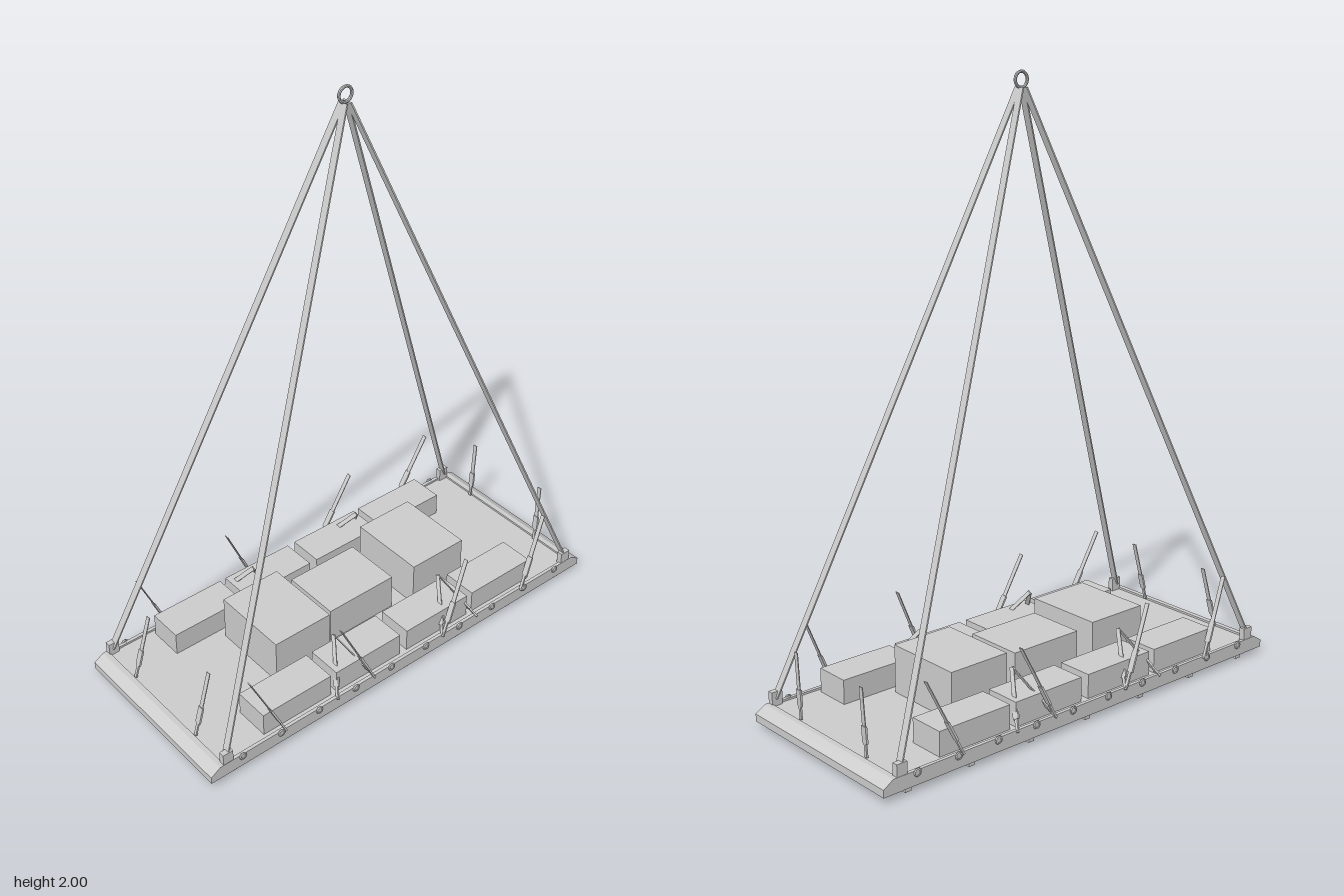
import * as THREE from 'three';

const mat = new THREE.MeshStandardMaterial({ color: 0xcccccc, flatShading: true });

function add(parent, name, geo, x = 0, y = 0, z = 0) {
  const m = new THREE.Mesh(geo, mat);
  m.name = name;
  m.position.set(x, y, z);
  parent.add(m);
  return m;
}

// box given by its limits on each axis
function block(parent, name, x0, x1, y0, y1, z0, z1) {
  return add(parent, name, new THREE.BoxGeometry(x1 - x0, y1 - y0, z1 - z0),
    (x0 + x1) / 2, (y0 + y1) / 2, (z0 + z1) / 2);
}

// flat bar from a to b whose width lies towards the x axis
function band(parent, name, a, b, width, thick) {
  const A = new THREE.Vector3(...a), B = new THREE.Vector3(...b);
  const d = B.clone().sub(A), len = d.length();
  d.normalize();
  const w = new THREE.Vector3(1, 0, 0).addScaledVector(d, -d.x).normalize();
  const n = w.clone().cross(d);
  const m = add(parent, name, new THREE.BoxGeometry(width, len, thick));
  m.quaternion.setFromRotationMatrix(new THREE.Matrix4().makeBasis(w, d, n));
  m.position.copy(A.add(B).multiplyScalar(0.5));
  return m;
}

// loose tie-down: hook, ratchet and webbing along one line
function tieDown(parent, a, b) {
  const g = new THREE.Group();
  g.name = 'tieDown';
  parent.add(g);
  const at = t => a.map((v, i) => v + (b[i] - v) * t);
  band(g, 'hook', a, at(0.25), 0.01, 0.006);
  band(g, 'ratchet', at(0.2), at(0.45), 0.021, 0.007);
  band(g, 'webbing', at(0.4), b, 0.016, 0.003);
}

export function createModel() {
  const root = new THREE.Group();
  root.name = 'slungCargoPallet';

  // pallet deck, side rails and bevelled ends
  const pallet = new THREE.Group();
  pallet.name = 'pallet';
  root.add(pallet);
  block(pallet, 'deck', -0.318, 0.318, 0.02, 0.06, -0.775, 0.775);
  const profile = new THREE.Shape([
    [0.76, 0.02], [0.813, 0.02], [0.813, 0.045], [0.778, 0.067], [0.76, 0.067],
  ].map(p => new THREE.Vector2(...p)));
  for (const s of [-1, 1]) {
    block(pallet, 'sideRail', s * 0.324 - 0.006, s * 0.324 + 0.006, 0.02, 0.067, -0.77, 0.77);
    const geo = new THREE.ExtrudeGeometry(profile, { depth: 0.66, bevelEnabled: false });
    geo.translate(0, 0, -0.33);
    add(pallet, 'endRail', geo).rotation.y = -s * Math.PI / 2;
  }

  // cross runners underneath
  for (let i = -3; i <= 3; i++) {
    const z = i * 0.238;
    block(pallet, 'runner', -0.315, 0.315, 0, 0.022, z - 0.011, z + 0.011);
  }

  // tie rings along both sides
  for (const s of [-1, 1]) {
    for (let i = 0; i < 10; i++) {
      const z = (i - 4.5) * 0.1535;
      const ring = add(pallet, 'tieRing', new THREE.TorusGeometry(0.01, 0.004, 6, 14), s * 0.331, 0.06, z);
      ring.rotation.y = Math.PI / 2;
      const pin = add(pallet, 'ringPin', new THREE.CylinderGeometry(0.008, 0.008, 0.012, 10), s * 0.327, 0.06, z);
      pin.rotation.z = Math.PI / 2;
    }
  }

  // cargo boxes
  const cargo = new THREE.Group();
  cargo.name = 'cargo';
  root.add(cargo);
  block(cargo, 'middleBox', -0.105, 0.105, 0.06, 0.19, -0.12, 0.152);
  for (const s of [-1, 1]) {
    block(cargo, 'tallBox', -0.142, 0.142, 0.06, 0.222, s * 0.298 - 0.112, s * 0.298 + 0.112);
    for (const x of [-0.238, 0.238]) {
      block(cargo, 'innerSideBox', x - 0.063, x + 0.063, 0.06, 0.142, s * 0.152 - 0.137, s * 0.152 + 0.137);
      block(cargo, 'outerSideBox', x - 0.063, x + 0.063, 0.06, 0.142, s * 0.449 - 0.137, s * 0.449 + 0.137);
    }
  }

  // tie-downs, mirrored to both sides and both ends
  for (const x of [-1, 1]) {
    for (const z of [-1, 1]) {
      tieDown(root, [x * 0.332, 0.06, z * 0.52], [x * 0.305, 0.315, z * 0.637]);
      tieDown(root, [x * 0.332, 0.06, z * 0.152], [x * 0.305, 0.315, z * 0.272]);
      tieDown(root, [x * 0.332, 0.06, z * 0.31], [x * 0.215, 0.212, z * 0.23]);
      tieDown(root, [x * 0.332, 0.06, z * 0.15], [x * 0.215, 0.212, z * 0.23]);
    }
    tieDown(root, [x * 0.168, 0.065, 0.755], [x * 0.165, 0.29, 0.69]);
    tieDown(root, [x * 0.168, 0.065, -0.752], [x * 0.165, 0.29, -0.764]);
  }

  // lifting slings, their corner brackets and the top ring
  for (const x of [-1, 1]) {
    for (const z of [-1, 1]) {
      block(root, 'cornerBracket', x * 0.319 - 0.01, x * 0.319 + 0.01, 0.06, 0.107, z * 0.745 - 0.019, z * 0.745 + 0.019);
      band(root, 'sling', [x * 0.316, 0.085, z * 0.748], [x * 0.006, 1.947, z * 0.008], 0.026, 0.005);
    }
  }
  add(root, 'liftingRing', new THREE.TorusGeometry(0.024, 0.005, 8, 24), 0, 1.971, 0).rotation.y = Math.PI / 2;

  return root;
}
